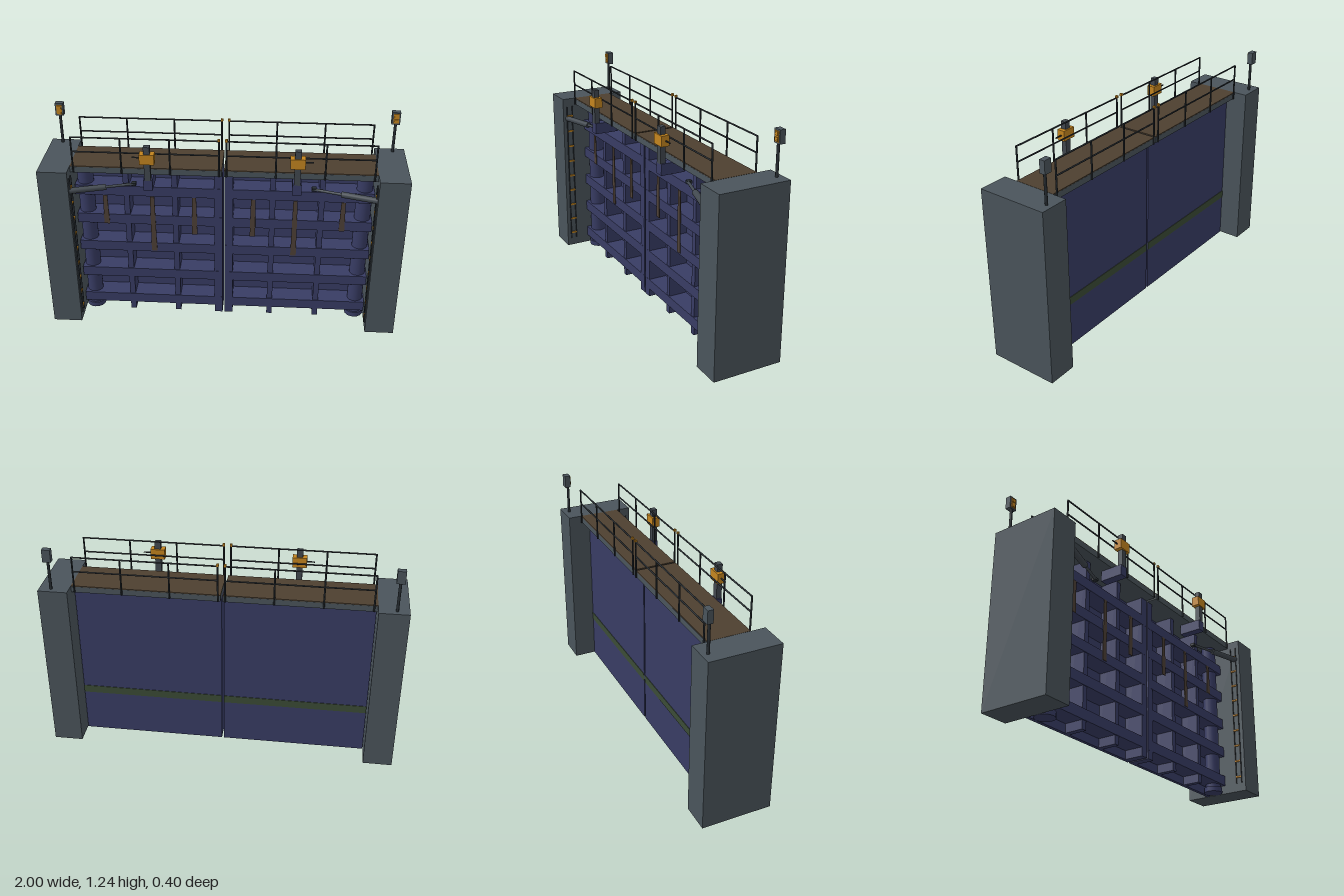
import * as THREE from 'three';

const paint = (name, color) => {
  const m = new THREE.MeshStandardMaterial({ color });
  m.name = name;
  return m;
};

export function createModel() {
  const model = new THREE.Group();
  model.name = 'canalLockGate';

  const concrete = paint('concrete grey', 0x4a545b);
  const blue = paint('gate blue', 0x383c64);
  const brown = paint('deck brown', 0x4e4030);
  const rust = paint('rust brown', 0x4d4036);
  const green = paint('algae green', 0x3b4b36);
  const dark = paint('rail dark', 0x262c31);
  const steel = paint('steel grey', 0x41484f);
  const orange = paint('signal orange', 0xc4851f);

  const add = (parent, name, geo, mat, x = 0, y = 0, z = 0) => {
    const mesh = new THREE.Mesh(geo, mat);
    mesh.name = name;
    mesh.position.set(x, y, z);
    parent.add(mesh);
    return mesh;
  };
  // Box given by its limits on each axis; s mirrors it in x
  const box = (parent, name, mat, s, [x0, x1], [y0, y1], [z0, z1]) =>
    add(parent, name, new THREE.BoxGeometry(x1 - x0, y1 - y0, z1 - z0), mat,
      s * (x0 + x1) / 2, (y0 + y1) / 2, (z0 + z1) / 2);
  // Round bar between two points
  const bar = (parent, name, mat, a, b, r, sides = 8) => {
    const p = new THREE.Vector3(...a), q = new THREE.Vector3(...b);
    const d = q.clone().sub(p);
    const mesh = add(parent, name, new THREE.CylinderGeometry(r, r, d.length(), sides), mat);
    mesh.position.copy(p).add(q).multiplyScalar(0.5);
    mesh.quaternion.setFromUnitVectors(new THREE.Vector3(0, 1, 0), d.normalize());
    return mesh;
  };
  const group = (name) => {
    const g = new THREE.Group();
    g.name = name;
    model.add(g);
    return g;
  };

  for (const s of [1, -1]) {
    const side = s > 0 ? 'left' : 'right';

    // Side wall with recessed ladder
    const wall = group(side + 'Wall');
    box(wall, 'pier', concrete, s, [0.835, 1], [0, 1], [-0.2, 0.2]);
    for (const z of [0.14, 0.175])
      box(wall, 'ladderRail', dark, s, [0.827, 0.836], [0.05, 0.95], [z - 0.003, z + 0.003]);
    for (let i = 0; i < 9; i++)
      box(wall, 'ladderRung', orange, s, [0.826, 0.836], [0.085 + i * 0.1, 0.094 + i * 0.1], [0.14, 0.175]);

    // Gate leaf: skin, framing and hinge post
    const leaf = group(side + 'Leaf');
    box(leaf, 'skinPlate', blue, s, [0.006, 0.832], [0, 0.965], [-0.07, -0.05]);
    box(leaf, 'algaeBand', green, s, [0.007, 0.832], [0.262, 0.308], [-0.073, -0.069]);
    box(leaf, 'mitrePost', blue, s, [0.006, 0.053], [0, 0.965], [-0.055, 0.06]);
    for (let i = 0; i < 5; i++) {
      const y = 0.08 + i * 0.185;
      box(leaf, 'beam', blue, s, [0.008, 0.832], [y - 0.03, y + 0.03], [-0.052, 0.061]);
    }
    for (const x of [0.273, 0.545])
      box(leaf, 'rib', blue, s, [x - 0.016, x + 0.016], [0, 0.963], [-0.052, 0.056]);
    add(leaf, 'hingePost', new THREE.CylinderGeometry(0.045, 0.045, 0.965, 16), blue, s * 0.78, 0.4825, 0.005);
    add(leaf, 'hingeFoot', new THREE.CylinderGeometry(0.055, 0.055, 0.03, 16), blue, s * 0.78, 0.015, 0.005);

    // Tapered rust streaks
    for (const [x, bottom] of [[0.165, 0.55], [0.4, 0.43], [0.665, 0.605]]) {
      const shape = new THREE.Shape([
        new THREE.Vector2(-0.012, 0.79), new THREE.Vector2(-0.016, bottom),
        new THREE.Vector2(0.016, bottom), new THREE.Vector2(0.012, 0.79),
      ]);
      add(leaf, 'rustStreak', new THREE.ExtrudeGeometry(shape, { depth: 0.004, bevelEnabled: false }),
        rust, s * x, 0, 0.061);
    }

    // Walkway
    const walk = group(side + 'Walkway');
    box(walk, 'deckFrame', concrete, s, [0.006, 0.835], [0.962, 0.996], [-0.12, 0.12]);
    box(walk, 'deckBoards', brown, s, [0.006, 0.835], [0.996, 1.001], [-0.119, 0.119]);
    for (const z of [-0.126, 0.126]) {
      for (const x of [0.02, 0.285, 0.55, 0.815])
        bar(walk, 'railPost', dark, [s * x, 0.965, z], [s * x, 1.18, z], 0.005);
      for (const y of [1.093, 1.178])
        bar(walk, 'handrail', dark, [s * 0.02, y, z], [s * 0.815, y, z], 0.0045);
      add(walk, 'postCap', new THREE.BoxGeometry(0.013, 0.013, 0.013), orange, s * 0.02, 1.184, z);
    }

    // Paddle gear: bracket, column, gearbox and crank
    const gear = group(side + 'PaddleGear');
    box(gear, 'gearBracket', blue, s, [0.375, 0.425], [0.9, 0.963], [0.05, 0.186]);
    box(gear, 'gearColumn', steel, s, [0.383, 0.417], [0.96, 1.16], [0.157, 0.187]);
    box(gear, 'gearBox', orange, s, [0.36, 0.44], [1.06, 1.118], [0.148, 0.194]);
    bar(gear, 'crankShaft', dark, [s * 0.43, 1.09, 0.168], [s * 0.483, 1.09, 0.168], 0.004);

    // Hydraulic ram from wall to leaf
    const ram = group(side + 'Ram');
    bar(ram, 'ramBarrel', steel, [s * 0.84, 0.872, 0.17], [s * 0.645, 0.872, 0.113], 0.017, 16);
    bar(ram, 'ramRod', steel, [s * 0.66, 0.872, 0.117], [s * 0.487, 0.872, 0.066], 0.008, 12);
    box(ram, 'ramLug', dark, s, [0.485, 0.51], [0.864, 0.88], [0.05, 0.078]);

    // Signal lamp on the wall
    const signal = group(side + 'Signal');
    bar(signal, 'signalPole', dark, [s * 0.933, 1, -0.165], [s * 0.933, 1.175, -0.165], 0.008, 10);
    box(signal, 'signalHousing', concrete, s, [0.91, 0.956], [1.17, 1.242], [-0.187, -0.155]);
    box(signal, 'signalFace', orange, s, [0.918, 0.948], [1.178, 1.234], [-0.156, -0.152]);
    for (const y of [1.192, 1.221])
      box(signal, 'signalLamp', orange, s, [0.922, 0.944], [y - 0.01, y + 0.01], [-0.154, -0.148]);
  }
  return model;
}
